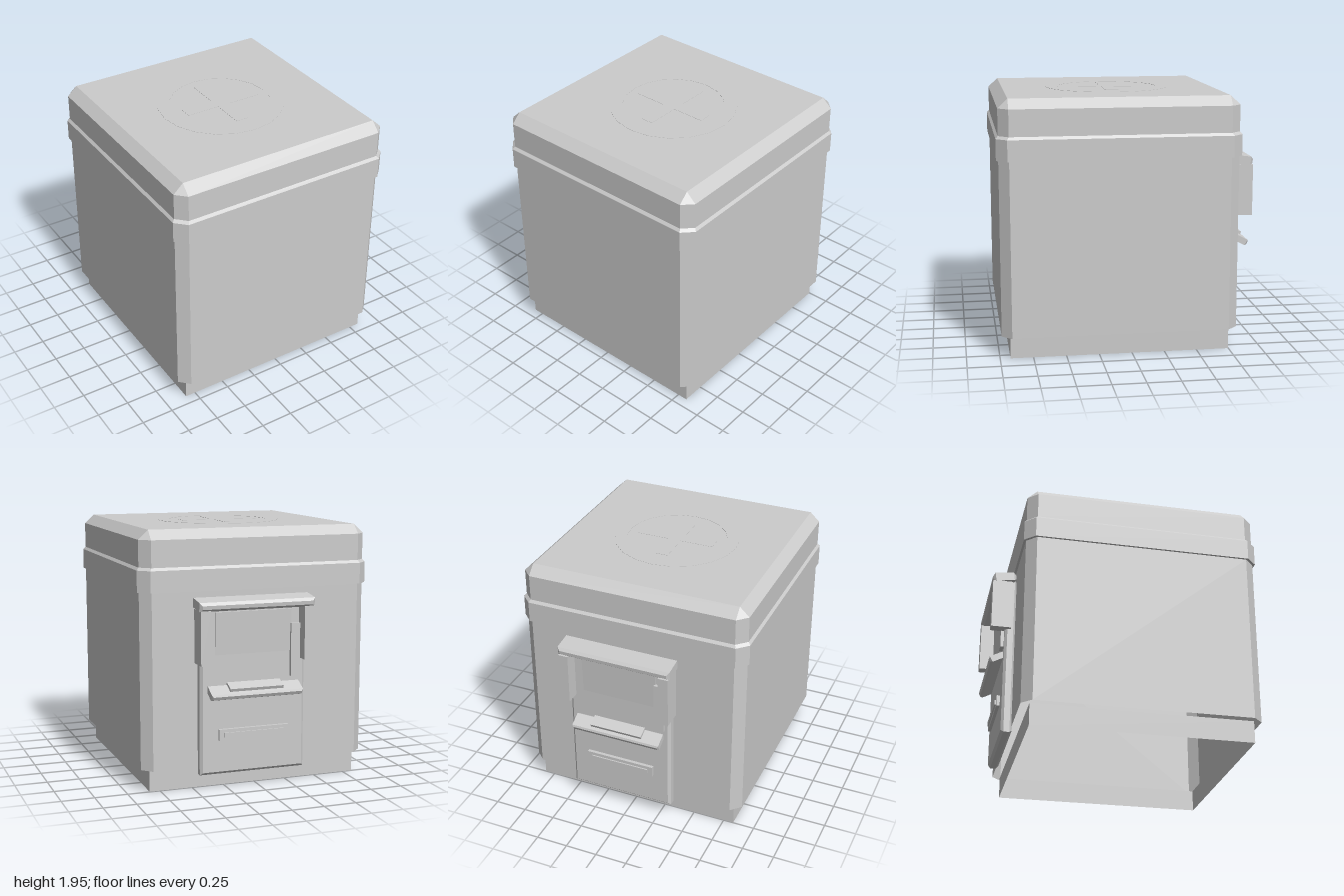
import * as THREE from 'three';

const ZC = 0.0875; // middle of the box in z
const XC = 0.0625; // middle of the back fittings in x

// Flat-shaded shell through rectangular rings with cut corners: [y, halfX, halfZ, cut]
function shell(rings, capped) {
  const loops = rings.map(([y, hx, hz, c]) => [
    [hx, hz - c], [hx, c - hz], [hx - c, -hz], [c - hx, -hz],
    [-hx, c - hz], [-hx, hz - c], [c - hx, hz], [hx - c, hz],
  ].map(([x, z]) => new THREE.Vector3(x, y, z)));
  const pos = [];
  const tri = (a, b, c) => {
    if (a.equals(b) || b.equals(c) || c.equals(a)) return;
    for (const p of [a, b, c]) pos.push(p.x, p.y, p.z);
  };
  for (let r = 0; r + 1 < loops.length; r++) {
    const lo = loops[r], up = loops[r + 1];
    for (let i = 0; i < 8; i++) {
      const j = (i + 1) % 8;
      tri(lo[i], lo[j], up[j]);
      tri(lo[i], up[j], up[i]);
    }
  }
  if (capped) {
    const top = loops[loops.length - 1];
    for (let i = 1; i < 7; i++) tri(top[0], top[i], top[i + 1]);
  }
  const g = new THREE.BufferGeometry();
  g.setAttribute('position', new THREE.Float32BufferAttribute(pos, 3));
  g.computeVertexNormals();
  return g;
}

// Box with chamfered edges, centred on the origin
function bevelBox(w, h, d, b) {
  const x = w / 2 - b, y = h / 2 - b;
  const s = new THREE.Shape([[-x, -y], [x, -y], [x, y], [-x, y]].map(p => new THREE.Vector2(...p)));
  const g = new THREE.ExtrudeGeometry(s, {
    depth: d - 2 * b, bevelEnabled: true, bevelSize: b, bevelThickness: b, bevelSegments: 1,
  });
  return g.translate(0, 0, b - d / 2);
}

// Polygon points with a corner on the z axis
function ngon(r, n) {
  return Array.from({ length: n }, (_, i) => {
    const a = (i / n) * Math.PI * 2;
    return new THREE.Vector2(Math.sin(a) * r, Math.cos(a) * r);
  });
}

// Rectangle outline path
function rect(w, h) {
  return [[-w, -h], [w, -h], [w, h], [-w, h]].map(([x, y]) => new THREE.Vector2(x / 2, y / 2));
}

export function createModel() {
  const group = new THREE.Group();
  const grey = new THREE.MeshStandardMaterial({ color: 0xcccccc, side: THREE.DoubleSide });
  grey.name = 'plain grey';

  function add(name, geometry, x, y, z, tilt = 0) {
    const m = new THREE.Mesh(geometry, grey);
    m.name = name;
    m.position.set(x, y, z);
    m.rotation.x = tilt;
    group.add(m);
    return m;
  }

  // Main box, open underneath, with a raised band and a bevelled lid
  add('bodyAndLid', shell([
    [0.17, 0.893, 0.8975, 0.075],
    [1.5, 0.893, 0.8975, 0.075],
    [1.5, 0.91, 0.915, 0.08],
    [1.66, 0.91, 0.915, 0.08],
    [1.68, 0.893, 0.8975, 0.075],
    [1.88, 0.893, 0.8975, 0.075],
    [1.95, 0.818, 0.8225, 0],
  ], true), 0, 0, ZC);

  // Narrower open base
  add('baseSkirt', shell([[0, 0.83, 0.835, 0], [0.17, 0.83, 0.835, 0]], false), 0, 0, ZC);

  // Thin ring and cross on the lid
  const ring = new THREE.Shape(ngon(0.485, 20));
  ring.holes.push(new THREE.Path(ngon(0.39, 20)));
  const a = 0.05, b = 0.31;
  const cross = new THREE.Shape([
    [a, b], [-a, b], [-a, a], [-b, a], [-b, -a], [-a, -a],
    [-a, -b], [a, -b], [a, -a], [b, -a], [b, a], [a, a],
  ].map(p => new THREE.Vector2(...p)));
  for (const [name, shape] of [['lidRing', ring], ['lidCross', cross]]) {
    const plate = new THREE.ExtrudeGeometry(shape, { depth: 0.002, bevelEnabled: false });
    add(name, plate, 0, 1.95, 0.08, -Math.PI / 2);
  }

  // Back panel
  add('backPanel', bevelBox(0.83, 1.28, 0.085, 0.02), XC, 0.765, -0.8475);

  // Sloping hood with a bracket on each side
  add('hood', bevelBox(0.903, 0.068, 0.185, 0.02), XC, 1.413, -0.908, -0.13);
  for (const side of [-1, 1]) {
    add('hoodBracket', new THREE.BoxGeometry(0.08, 0.4, 0.155), XC + side * 0.405, 1.175, -0.9225);
  }

  // Leaning screen under the hood and a strip beside it
  add('screen', new THREE.BoxGeometry(0.6, 0.34, 0.02), XC, 1.18, -0.886, -0.04);
  add('sideStrip', new THREE.BoxGeometry(0.08, 0.4, 0.03), -0.27, 1.04, -0.9);

  // Tilted shelf with a thin plate on top
  add('shelf', bevelBox(0.72, 0.05, 0.13, 0.012), XC, 0.757, -0.932, -0.48);
  add('shelfPlate', new THREE.BoxGeometry(0.42, 0.03, 0.09), XC, 0.792, -0.93, -0.4);

  // Slot frame with a narrow lip
  const frame = new THREE.Shape(rect(0.55, 0.085));
  frame.holes.push(new THREE.Path(rect(0.47, 0.035)));
  add('slotFrame', new THREE.ExtrudeGeometry(frame, { depth: 0.03, bevelEnabled: false }), XC, 0.43, -0.915);
  add('slotLip', new THREE.BoxGeometry(0.47, 0.035, 0.04), XC, 0.43, -0.905);

  return group;
}
